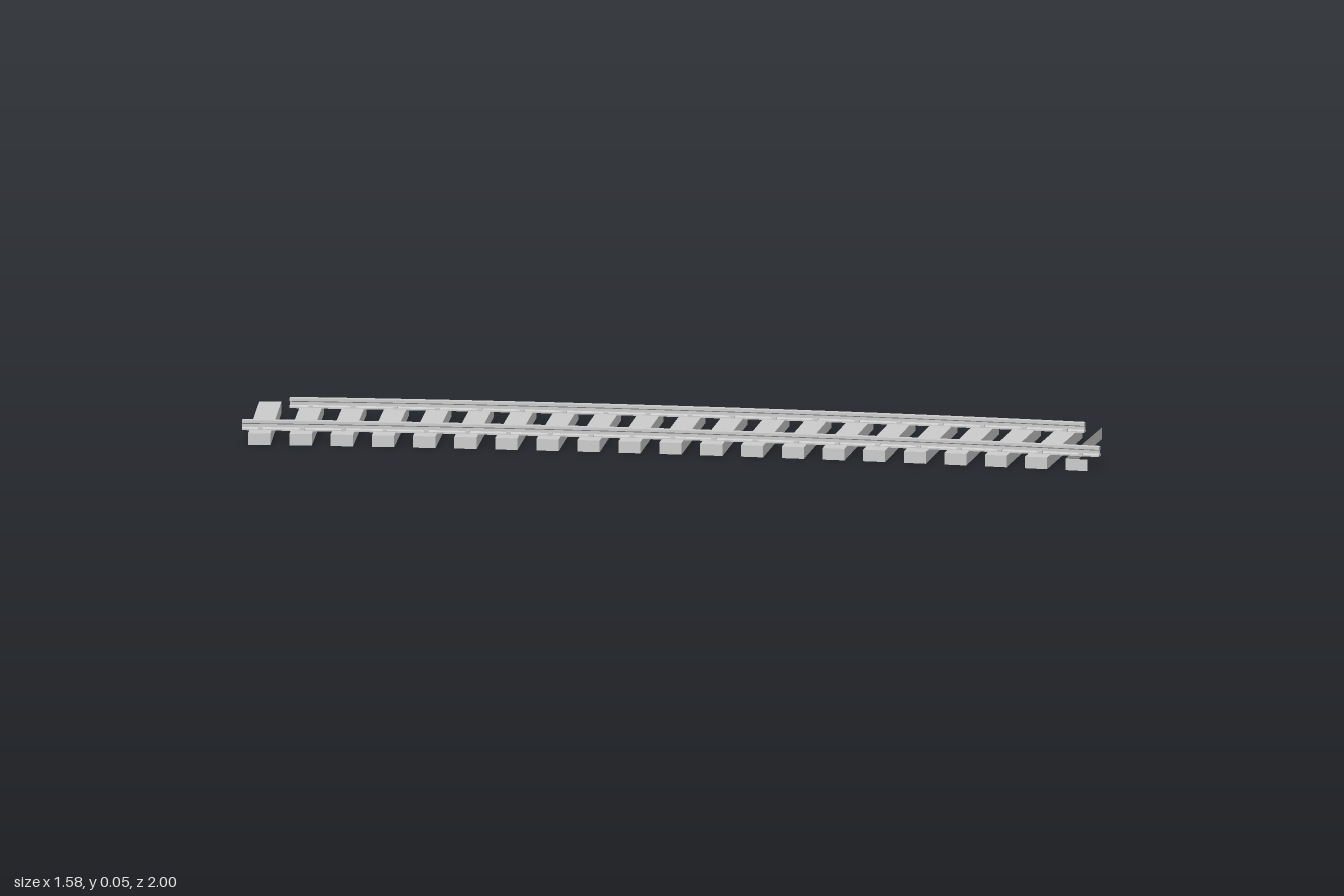
import * as THREE from 'three';

const R = 12.9;                                // centre-line radius
const STEP = THREE.MathUtils.degToRad(9 / 19); // angle between sleepers
const MID = THREE.MathUtils.degToRad(36.45);   // heading at the middle sleeper
const CX = 0.012 - R * Math.cos(MID);
const CZ = -0.061 + R * Math.sin(MID);
const SLEEPER = { length: 0.398, height: 0.03, width: 0.057 };
const GAUGE = 0.141;                           // rail offset from the centre line

const heading = s => MID - (s - 9.5) * STEP;

// Point on the curve: s in sleeper steps, offset positive to the outside
function trackPoint(s, offset, y) {
  const a = heading(s);
  return new THREE.Vector3(CX + (R + offset) * Math.cos(a), y, CZ - (R + offset) * Math.sin(a));
}

function place(mesh, s, offset, y) {
  mesh.position.copy(trackPoint(s, offset, y));
  mesh.rotation.y = heading(s);
  return mesh;
}

// Box keeping only the listed faces (0 +x, 1 -x, 2 +y, 3 -y, 4 +z, 5 -z)
function boxFaces(faces) {
  const g = new THREE.BoxGeometry(SLEEPER.length, SLEEPER.height, SLEEPER.width);
  const index = Array.from(g.index.array);
  g.setIndex(faces.flatMap(f => index.slice(f * 6, f * 6 + 6)));
  g.clearGroups();
  return g;
}

// I-shaped rail section swept along the curve
function railGeometry(offset, start, end) {
  const half = [[0.012, 0.028], [0.012, 0.032], [0.004, 0.035], [0.004, 0.043], [0.009, 0.046], [0.009, 0.053]];
  const section = new THREE.Shape([
    ...half.map(([x, y]) => new THREE.Vector2(x, y)),
    ...half.slice().reverse().map(([x, y]) => new THREE.Vector2(-x, y)),
  ]);
  const g = new THREE.ExtrudeGeometry(section, { depth: 1, steps: 21, bevelEnabled: false });
  const p = g.attributes.position;
  for (let i = 0; i < p.count; i++) {
    const v = trackPoint(start + (end - start) * p.getZ(i), offset + p.getX(i), p.getY(i));
    p.setXYZ(i, v.x, v.y, v.z);
  }
  g.computeVertexNormals();
  return g;
}

export function createModel() {
  const group = new THREE.Group();
  const material = new THREE.MeshStandardMaterial({ color: 0xcccccc, side: THREE.DoubleSide });

  const add = (name, geometry) => {
    const mesh = new THREE.Mesh(geometry, material);
    mesh.name = name;
    group.add(mesh);
    return mesh;
  };

  // Sleepers; the first is open at its joint, the last is only the joint's two faces
  const full = boxFaces([0, 1, 2, 3, 4, 5]);
  const open = boxFaces([1, 2, 3, 4]);
  const joint = boxFaces([1, 5]);
  for (let s = 0; s <= 20; s++) {
    const geometry = s === 0 ? open : s === 20 ? joint : full;
    place(add(s === 20 ? 'jointPlate' : 'sleeper', geometry), s, 0, SLEEPER.height / 2);
  }

  // Rails, with staggered ends
  const rails = [
    { name: 'innerRail', offset: -GAUGE, start: -0.45, end: 20.45 },
    { name: 'outerRail', offset: GAUGE, start: 0.5, end: 19.45 },
  ];
  const clip = new THREE.BoxGeometry(0.007, 0.008, 0.012);
  for (const { name, offset, start, end } of rails) {
    add(name, railGeometry(offset, start, end));
    // Small clips holding the rail foot on each sleeper
    for (let s = Math.ceil(start); s <= end; s++) {
      for (const side of [-1, 1]) place(add('railClip', clip), s, offset + side * 0.012, 0.033);
    }
  }
  return group;
}
